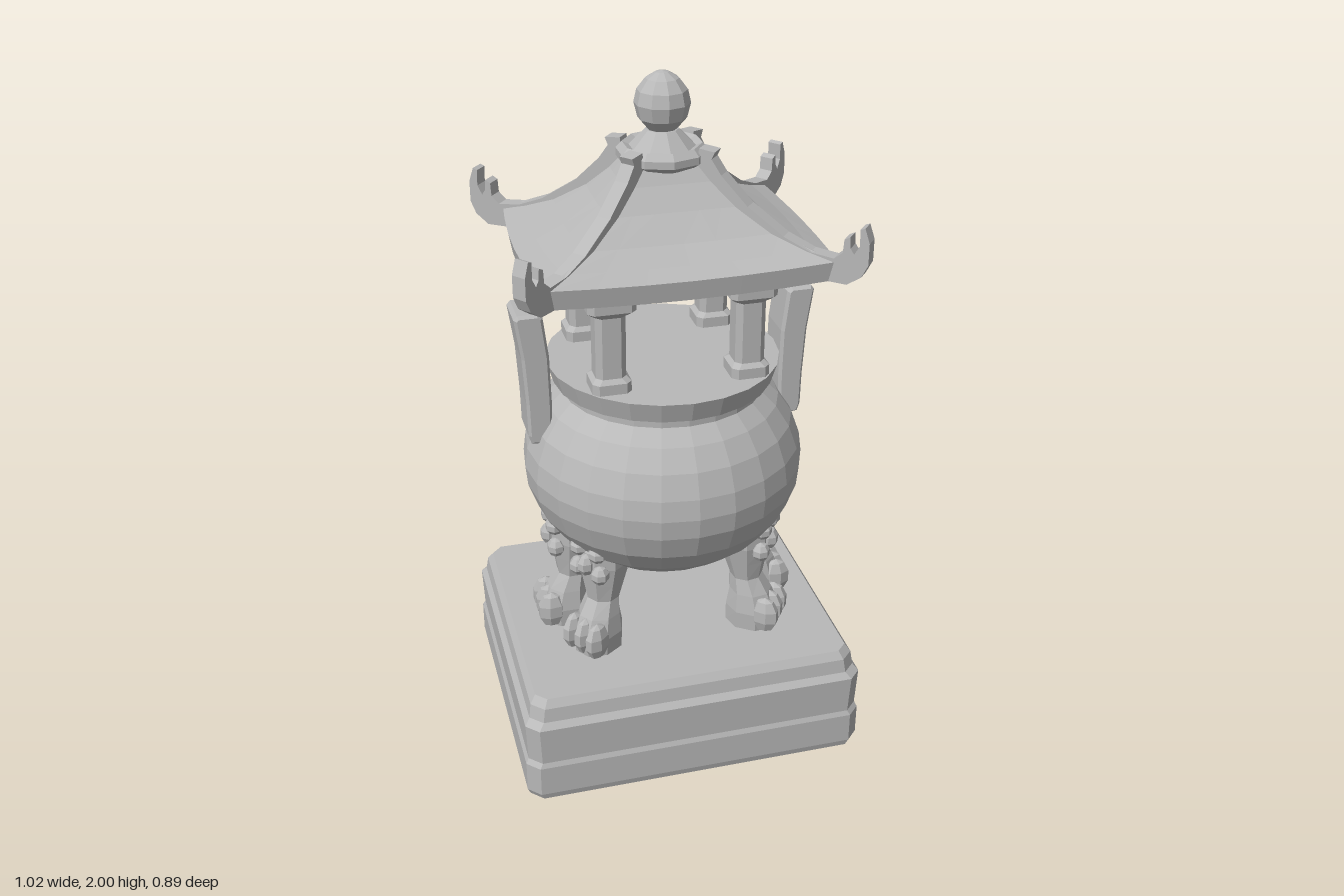
import * as THREE from 'three';

const stone = new THREE.MeshStandardMaterial({ color: 0xb8b8b8, flatShading: true });
stone.name = 'grey stone';
const stoneShell = new THREE.MeshStandardMaterial({ color: 0xb8b8b8, flatShading: true, side: THREE.DoubleSide });
stoneShell.name = 'grey stone shell';

const CZ = 0.015; // the vessel and roof sit slightly forward

// Skins a stack of equal-length rings (bottom to top), with optional caps
function loft(rings, capBottom = true, capTop = true) {
  const pos = [];
  const n = rings[0].length;
  const tri = (...p) => p.forEach((v) => pos.push(...v));
  for (let i = 0; i < rings.length - 1; i++) {
    for (let j = 0; j < n; j++) {
      const k = (j + 1) % n;
      const a = rings[i][j], b = rings[i][k], c = rings[i + 1][k], d = rings[i + 1][j];
      tri(a, b, c);
      tri(a, c, d);
    }
  }
  const cap = (ring, up) => {
    const mid = [0, 1, 2].map((q) => ring.reduce((s, p) => s + p[q], 0) / n);
    for (let j = 0; j < n; j++) {
      const k = (j + 1) % n;
      if (up) tri(mid, ring[j], ring[k]);
      else tri(mid, ring[k], ring[j]);
    }
  };
  if (capBottom) cap(rings[0], false);
  if (capTop) cap(rings[rings.length - 1], true);
  const g = new THREE.BufferGeometry();
  g.setAttribute('position', new THREE.Float32BufferAttribute(pos, 3));
  g.computeVertexNormals();
  return g;
}

// Rectangle with cut corners
function cutRect(hx, hz, c, y) {
  const x = hx - c, z = hz - c;
  return [[hx, y, z], [hx, y, -z], [x, y, -hz], [-x, y, -hz],
    [-hx, y, -z], [-hx, y, z], [-x, y, hz], [x, y, hz]];
}

// Ellipse ring
function oval(cx, rx, rz, y, n = 8) {
  return Array.from({ length: n }, (_, i) => {
    const a = ((i + 0.5) / n) * Math.PI * 2;
    return [cx + rx * Math.cos(a), y, -rz * Math.sin(a)];
  });
}

// Roof ring: rectangle whose sides bow out and whose corners lift
function roofRing(hx, hz, y, bow, lift) {
  const corners = [[hx, hz], [hx, -hz], [-hx, -hz], [-hx, hz]];
  const out = [], N = 6;
  corners.forEach(([x0, z0], s) => {
    const [x1, z1] = corners[(s + 1) % 4];
    for (let i = 0; i < N; i++) {
      const t = i / N, m = 1 - (2 * t - 1) ** 2;
      const push = s % 2 === 0 ? bow * m * Math.sign(x0) : 0;
      out.push([x0 + (x1 - x0) * t + push, y + lift * (1 - m), z0 + (z1 - z0) * t]);
    }
  });
  return out;
}

function part(name, geometry, parent, material = stone) {
  const m = new THREE.Mesh(geometry, material);
  m.name = name;
  parent.add(m);
  return m;
}

function lathe(points, sides) {
  return new THREE.LatheGeometry(points.map(([r, y]) => new THREE.Vector2(r, y)), sides);
}

// Beast leg: local +x points outwards
function makeLeg() {
  const leg = new THREE.Group();
  const rows = [ // inner x, outer x, half width, y
    [0.215, 0.365, 0.062, 0.33], [0.215, 0.37, 0.066, 0.39], [0.225, 0.345, 0.058, 0.45],
    [0.225, 0.315, 0.048, 0.5], [0.205, 0.325, 0.06, 0.56], [0.185, 0.335, 0.072, 0.62],
    [0.185, 0.335, 0.072, 0.67], [0.2, 0.31, 0.05, 0.72]];
  part('legShaft', loft(rows.map(([a, b, w, y]) => oval((a + b) / 2, (b - a) / 2 * 1.06, w * 1.06, y))), leg);
  const lump = (name, x, y, z, sx, sy, sz) => {
    const m = part(name, new THREE.SphereGeometry(1, 7, 5), leg);
    m.position.set(x, y, z);
    m.scale.set(sx, sy, sz);
  };
  for (const z of [-0.045, 0, 0.045]) lump('toe', 0.345, 0.39, z, 0.045, 0.06, 0.027);
  for (const s of [-1, 1]) {
    lump('brow', 0.325, 0.68, s * 0.035, 0.03, 0.028, 0.03);
    lump('cheek', 0.325, 0.61, s * 0.042, 0.028, 0.03, 0.028);
  }
  lump('muzzle', 0.335, 0.635, 0, 0.03, 0.035, 0.025);
  return leg;
}

export function createModel() {
  const model = new THREE.Group();
  model.name = 'incenseBurner';

  // Hollow stepped plinth, open underneath
  part('plinth', loft([
    cutRect(0.5, 0.438, 0.035, 0), cutRect(0.508, 0.443, 0.035, 0.02), cutRect(0.508, 0.443, 0.035, 0.115),
    cutRect(0.5, 0.437, 0.035, 0.13), cutRect(0.505, 0.441, 0.035, 0.25), cutRect(0.49, 0.426, 0.035, 0.268),
    cutRect(0.484, 0.42, 0.035, 0.31), cutRect(0.468, 0.404, 0.03, 0.333)], false, true), model, stoneShell);

  const vessel = new THREE.Group();
  vessel.name = 'vessel';
  vessel.position.z = CZ;
  model.add(vessel);

  // Round bowl with flared, closed rim
  part('bowl', lathe([[0, 0.565], [0.18, 0.57], [0.25, 0.605], [0.325, 0.665], [0.375, 0.735], [0.402, 0.81],
    [0.408, 0.87], [0.4, 0.93], [0.375, 1.0], [0.335, 1.06], [0.292, 1.1], [0.292, 1.12],
    [0.315, 1.13], [0.333, 1.19], [0, 1.19]], 24), vessel);

  // Five beast legs: two in front, two at the sides, one behind
  for (const [deg, offset] of [[-35, 0], [-145, 0], [0, 0.01], [180, 0.01], [90, -0.025]]) {
    const holder = new THREE.Group();
    holder.name = 'leg';
    holder.rotation.y = THREE.MathUtils.degToRad(deg);
    const leg = makeLeg();
    leg.position.x = offset;
    holder.add(leg);
    vessel.add(holder);
  }

  // Upright side handles, curving outwards
  const side = [[0.36, 0.97], [0.395, 0.975], [0.403, 1.0], [0.405, 1.1], [0.413, 1.24], [0.43, 1.36],
    [0.42, 1.372], [0.362, 1.372], [0.35, 1.36], [0.336, 1.24], [0.333, 1.1], [0.335, 0.99]];
  for (const s of [0, Math.PI]) {
    const g = new THREE.ExtrudeGeometry(new THREE.Shape(side.map(([x, y]) => new THREE.Vector2(x, y))),
      { depth: 0.11, bevelEnabled: true, bevelThickness: 0.01, bevelSize: 0.008, bevelOffset: -0.008, bevelSegments: 1 });
    g.translate(0, 0, -0.055);
    part('handle', g, vessel).rotation.y = s;
  }

  // Four pillars with feet and capitals
  const pillar = loft([[0.054, 1.185], [0.054, 1.22], [0.042, 1.232], [0.042, 1.41], [0.066, 1.432], [0.066, 1.475],
    [0.055, 1.495]].map(([h, y]) => cutRect(h, h, 0.016, y)));
  for (const x of [-0.195, 0.195]) {
    for (const z of [-0.175, 0.175]) part('pillar', pillar, vessel).position.set(x, 0, z);
  }

  // Sweeping roof with bowed eaves
  const rows = [[0.375, 0.322, 1.488, 0.024, 0.012], [0.385, 0.33, 1.543, 0.024, 0.012], [0.33, 0.28, 1.566, 0.02, 0.008],
    [0.26, 0.22, 1.602, 0.014, 0.004], [0.18, 0.155, 1.665, 0.008, 0], [0.125, 0.11, 1.725, 0.004, 0],
    [0.09, 0.08, 1.775, 0, 0]];
  part('roof', loft(rows.map((r) => roofRing(...r))), vessel);

  // Hip ridges ending in upturned hooks
  const ridge = [[0.08, 1.72], [0.18, 1.63], [0.28, 1.56], [0.36, 1.5], [0.42, 1.498], [0.45, 1.525], [0.463, 1.56],
    [0.463, 1.62], [0.452, 1.66], [0.442, 1.655], [0.443, 1.61], [0.432, 1.585], [0.424, 1.6], [0.422, 1.63],
    [0.41, 1.622], [0.408, 1.585], [0.39, 1.565], [0.34, 1.572], [0.28, 1.603], [0.2, 1.67],
    [0.14, 1.745], [0.118, 1.785], [0.125, 1.805], [0.09, 1.81]];
  const hip = new THREE.ExtrudeGeometry(
    new THREE.Shape(ridge.map(([x, y]) => new THREE.Vector2(x * 1.277, y))), { depth: 0.042, bevelEnabled: false });
  hip.translate(0, 0, -0.021);
  const tilt = 0.68;
  for (const a of [tilt, -tilt, Math.PI - tilt, Math.PI + tilt]) part('hipRidge', hip, vessel).rotation.y = a;

  // Collar and ball finial
  part('roofCollar', lathe([[0, 1.75], [0.1, 1.752], [0.125, 1.77], [0.125, 1.79], [0.108, 1.808], [0.09, 1.8],
    [0.075, 1.815], [0.045, 1.845], [0, 1.85]], 10), vessel);
  part('finial', lathe([[0, 1.838], [0.04, 1.845], [0.066, 1.875], [0.076, 1.915], [0.068, 1.95], [0.045, 1.98],
    [0.018, 1.996], [0, 2.0]], 10), vessel);

  return model;
}
